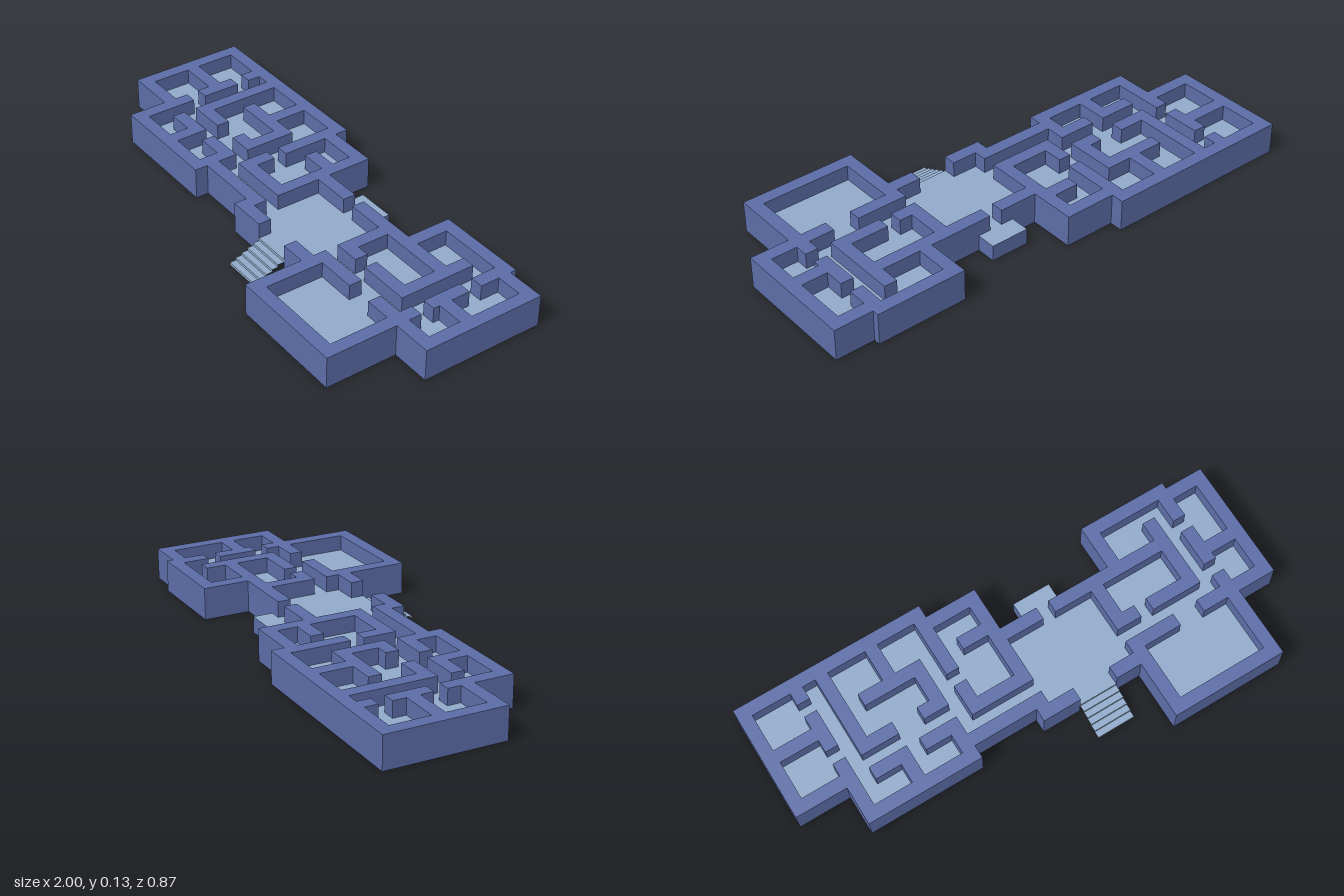
import * as THREE from 'three';

const U = 2 / 38;              // wall thickness = one plan unit
const COLS = 38, ROWS = 33;    // rows are half units deep
const H = 0.128, F = 0.065;    // wall top and floor level
const X = c => -1 + c * U;
const Z = r => (r - 8.25) * U; // r in plan units

// plan rectangles: [col0, row0, col1, row1]
const FOOTPRINT = [
  [0, 0, 15, 9], [4, 9, 13, 12], [13, 1, 19, 11], [18, 11, 19, 12],
  [19, 4.5, 26, 12], [26, 4.5, 35, 16.5], [28, 1, 35, 5], [35, 1.5, 38, 11],
];
const ROOMS = [
  // left wing
  [1, 1, 4, 4], [1, 5, 4, 8], [4, 2, 5, 3], [4, 6, 5, 7],
  [5, 1, 13, 11], [13, 1, 14, 10], [14, 5.5, 15, 6.5], [15, 2, 18, 8], [14, 9, 19, 10],
  // hall, doorways and back landing
  [19, 5.5, 26, 11], [21, 11, 24, 12], [22, 4.5, 23, 5.5], [21, 3, 24, 4.5],
  // right wing
  [26, 9, 34, 10], [27, 5.5, 32, 8], [28, 8, 29, 9], [29, 2, 34, 4.5], [33, 4.5, 34, 9],
  [34, 4, 35, 5], [34, 8, 35, 9], [35, 2.5, 37, 6.5], [35, 7.5, 37, 10],
  [30, 10, 32, 11], [27, 11, 34, 15.5],
];
const PARTITIONS = [
  [6, 1, 7, 7.5], [6, 6.5, 9, 7.5], [11, 6.5, 13, 7.5], [10, 1, 11, 3.5],
  [8, 3.5, 13, 4.5], [12, 3.5, 13, 7.5], [6, 8.5, 9, 9.5], [8, 8.5, 9, 11],
  [10, 8.5, 13, 9.5], [12, 8.5, 13, 11], [16, 3.5, 18, 4.5], [32, 3, 33, 4.5],
];

// paint the plan: 0 = outside, 1 = floor, 2 = wall
function makePlan() {
  const plan = Array.from({ length: ROWS }, () => new Array(COLS).fill(0));
  const paint = (rects, value) => rects.forEach(([c0, r0, c1, r1]) => {
    for (let r = r0 * 2; r < r1 * 2; r++) plan[r].fill(value, c0, c1);
  });
  paint(FOOTPRINT, 2);
  paint(ROOMS, 1);
  paint(PARTITIONS, 2);
  return (c, r) => (plan[r] && plan[r][c]) || 0;
}

// collects four-cornered faces into one geometry
class Faces {
  points = [];
  quad(a, b, c, d) { this.points.push(...a, ...b, ...c, ...a, ...c, ...d); }
  flat(x0, x1, z0, z1, y) {
    this.quad([x0, y, z1], [x1, y, z1], [x1, y, z0], [x0, y, z0]);
  }
  // upright face; outside is to the right when walking from (x0,z0) to (x1,z1)
  upright(x0, z0, x1, z1, y0, y1) {
    this.quad([x0, y0, z0], [x1, y0, z1], [x1, y1, z1], [x0, y1, z0]);
  }
  mesh(name, material) {
    const g = new THREE.BufferGeometry();
    g.setAttribute('position', new THREE.Float32BufferAttribute(this.points, 3));
    g.computeVertexNormals();
    const m = new THREE.Mesh(g, material);
    m.name = name;
    return m;
  }
}

export function createModel() {
  const wallBlue = new THREE.MeshStandardMaterial({ color: 0x5b6ca6, side: THREE.DoubleSide });
  wallBlue.name = 'wall blue';
  const floorBlue = new THREE.MeshStandardMaterial({ color: 0x90a9c9, side: THREE.DoubleSide });
  floorBlue.name = 'floor pale blue';

  const at = makePlan();
  const walls = new Faces(), floors = new Faces(), base = new Faces(), stairs = new Faces();

  for (let r = 0; r < ROWS; r++) {
    for (let c = 0; c < COLS; c++) {
      const kind = at(c, r);
      if (!kind) continue;
      const x0 = X(c), x1 = X(c + 1), z0 = Z(r / 2), z1 = Z((r + 1) / 2);
      (kind === 2 ? walls : floors).flat(x0, x1, z0, z1, kind === 2 ? H : F);

      // sides wherever the neighbour is lower
      const sides = [
        [at(c, r + 1), x0, z1, x1, z1], [at(c + 1, r), x1, z1, x1, z0],
        [at(c, r - 1), x1, z0, x0, z0], [at(c - 1, r), x0, z0, x0, z1],
      ];
      sides.forEach(([next, ax, az, bx, bz], i) => {
        if (next >= kind) return;
        const atStairs = kind === 1 && i === 0;
        if (kind === 2) walls.upright(ax, az, bx, bz, next ? F : 0, H);
        else if (!atStairs) base.upright(ax, az, bx, bz, 0, F);
      });
    }
  }

  // front steps: a folded sheet of risers and treads
  const treads = 5, depth = 0.128 / treads, rise = F / (treads + 1);
  for (let i = 0; i <= treads; i++) {
    const z = Z(12) + i * depth, y = F - i * rise;
    stairs.upright(X(21), z, X(24), z, y - rise, y);
    if (i < treads) stairs.flat(X(21), X(24), z, z + depth, y - rise);
  }

  const group = new THREE.Group();
  group.name = 'building plan';
  group.add(
    walls.mesh('walls', wallBlue),
    base.mesh('landingSides', wallBlue),
    floors.mesh('floor', floorBlue),
    stairs.mesh('frontSteps', floorBlue),
  );
  return group;
}
